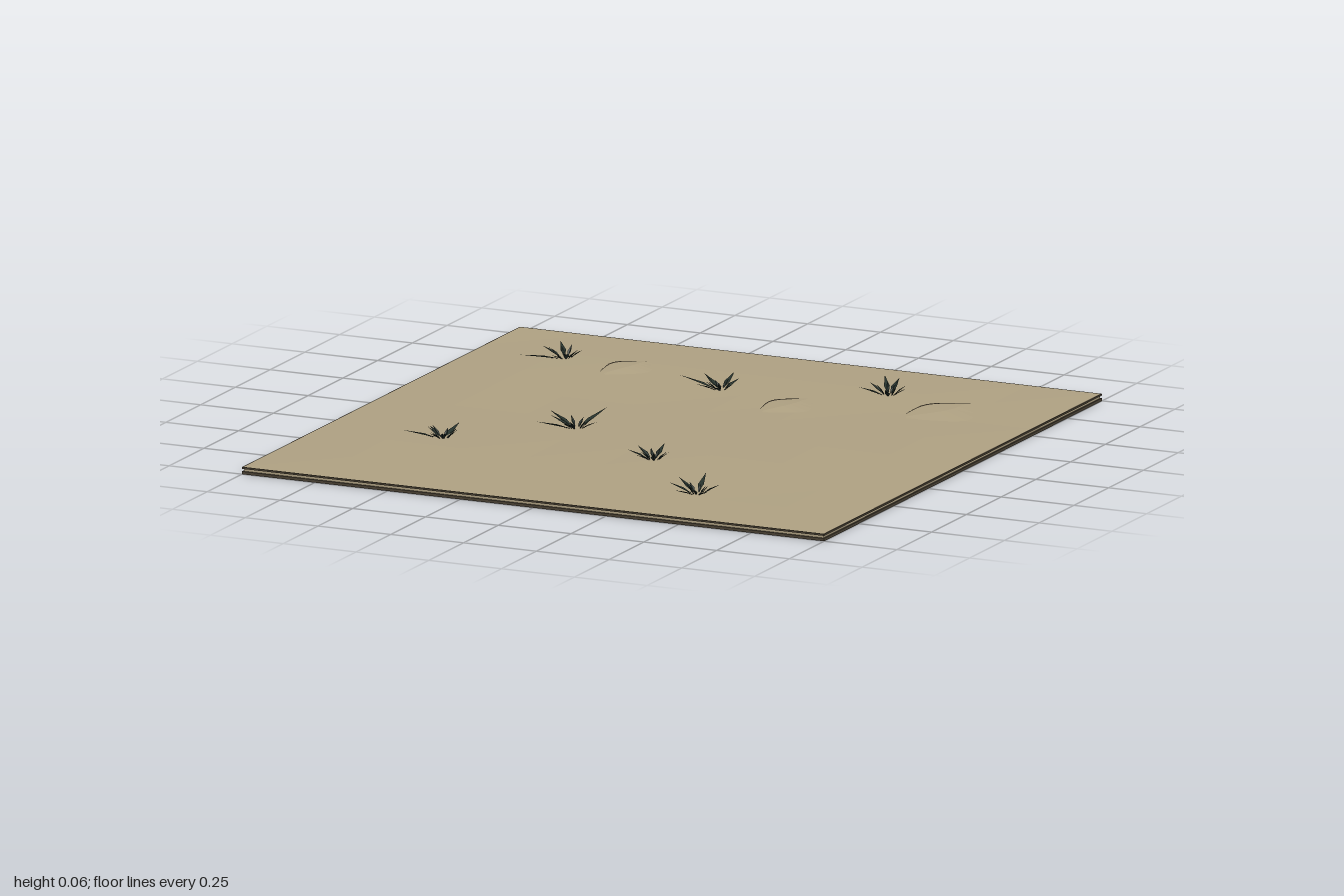
import * as THREE from 'three';

const sand = new THREE.MeshStandardMaterial({ name: 'sand', color: 0xb0a283, flatShading: true, side: THREE.DoubleSide });
const earth = new THREE.MeshStandardMaterial({ name: 'dark earth', color: 0x4a4234 });
const crust = new THREE.MeshStandardMaterial({ name: 'shaded crust', color: 0x5a5040, side: THREE.DoubleSide });
const grass = new THREE.MeshStandardMaterial({ name: 'dark grass', color: 0x27332d, flatShading: true, side: THREE.DoubleSide });

const TOP = 0.023;

function surface(points, index, material, name) {
  const g = new THREE.BufferGeometry();
  g.setAttribute('position', new THREE.Float32BufferAttribute(points, 3));
  g.setIndex(index);
  g.computeVertexNormals();
  const m = new THREE.Mesh(g, material);
  m.name = name;
  return m;
}

function slab(name, width, y0, y1, material) {
  const m = new THREE.Mesh(new THREE.BoxGeometry(width, y1 - y0, width), material);
  m.position.y = (y0 + y1) / 2;
  m.name = name;
  return m;
}

// Gently rolling ground sheet, flat along its border
function ground() {
  const g = new THREE.PlaneGeometry(1.992, 1.992, 8, 8).rotateX(-Math.PI / 2);
  const p = g.attributes.position;
  for (let i = 0; i < p.count; i++) {
    const x = p.getX(i), z = p.getZ(i);
    const inside = Math.max(Math.abs(x), Math.abs(z)) < 0.98;
    p.setY(i, TOP + (inside ? 0.0012 * (1 + Math.sin(x * 3 + z * 2) * Math.cos(z * 3 - x)) : 0));
  }
  g.computeVertexNormals();
  const m = new THREE.Mesh(g, sand);
  m.name = 'groundSurface';
  return m;
}

// Low drift: a curved crest with a soft apron on both sides and a thin dark lip
function drift(crestPoints, apron) {
  const group = new THREE.Group();
  group.name = 'sandDrift';
  const n = 8;
  const crest = new THREE.CatmullRomCurve3(crestPoints.map(([x, z]) => new THREE.Vector3(x, 0, z))).getPoints(n);
  const skirt = new THREE.CatmullRomCurve3(apron.map(([x, z]) => new THREE.Vector3(x, 0, z))).getPoints(n);
  const slope = [], lip = [], slopeIndex = [], lipIndex = [];
  for (let i = 0; i <= n; i++) {
    const c = crest[i], s = skirt[i], bulge = Math.sin(Math.PI * i / n);
    const mid = c.clone().lerp(s, 0.45);
    slope.push(c.x, TOP + 0.002 + 0.003 * bulge, c.z, mid.x, TOP + 0.002 + 0.006 * bulge, mid.z, s.x, TOP, s.z);
    const w = 0.004 * bulge;
    lip.push(c.x - w, TOP, c.z - w / 2, c.x, TOP + 0.002 + 0.005 * bulge, c.z, c.x + w, TOP + 0.002 + 0.003 * bulge, c.z + w / 2);
    if (i === n) continue;
    for (let k = 0; k < 2; k++) {
      const a = i * 3 + k;
      slopeIndex.push(a, a + 3, a + 1, a + 1, a + 3, a + 4);
      lipIndex.push(a, a + 3, a + 1, a + 1, a + 3, a + 4);
    }
  }
  group.add(surface(slope, slopeIndex, sand, 'driftSlope'), surface(lip, lipIndex, crust, 'driftLip'));
  return group;
}

// Spiky tuft: folded leaf blades radiating to the given tips, plus short inner blades
function tuft([cx, cz], tips, seed) {
  const rand = () => (seed = (seed * 16807) % 2147483647) / 2147483647;
  const points = [], index = [];
  const blade = (dx, dz, height, width) => {
    const len = Math.hypot(dx, dz), ux = dx / len, uz = dz / len, start = 0.014;
    const at = (t, side, y) => {
      const r = start + (len - start) * t;
      points.push(cx + ux * r - uz * side, TOP + y, cz + uz * r + ux * side);
    };
    const b = points.length / 3;
    at(0, 0, -0.002);
    at(0.4, width / 2, height * 0.48);
    at(0.4, 0, height * 0.36);
    at(0.4, -width / 2, height * 0.48);
    at(1, 0, height);
    index.push(b, b + 1, b + 2, b, b + 2, b + 3, b + 1, b + 4, b + 2, b + 2, b + 4, b + 3);
  };
  for (const [x, z] of tips) blade(x - cx, z - cz, 0.023 + rand() * 0.01, 0.018);
  for (let i = 0; i < 7; i++) {
    const a = (i + rand() * 0.7) / 7 * Math.PI * 2, r = 0.035 + rand() * 0.025;
    blade(Math.cos(a) * r, Math.sin(a) * r, 0.022 + rand() * 0.011, 0.011);
  }
  return surface(points, index, grass, 'grassTuft');
}

const drifts = [
  [[[-0.46, -0.76], [-0.53, -0.69], [-0.525, -0.58]], [[-0.44, -0.77], [-0.37, -0.64], [-0.48, -0.54]]],
  [[[0.20, -0.54], [0.125, -0.46], [0.13, -0.36]], [[0.22, -0.55], [0.29, -0.39], [0.17, -0.31]]],
  [[[0.67, -0.70], [0.58, -0.62], [0.565, -0.50]], [[0.70, -0.72], [0.78, -0.50], [0.60, -0.43]]],
];

const tufts = [
  [[-0.70, -0.70], [[-0.77, -0.81], [-0.80, -0.58], [-0.65, -0.72], [-0.67, -0.65], [-0.78, -0.70], [-0.71, -0.62]]],
  [[-0.09, -0.54], [[-0.11, -0.68], [-0.23, -0.54], [-0.07, -0.45], [-0.14, -0.47], [-0.18, -0.61], [-0.06, -0.61]]],
  [[0.41, -0.70], [[0.33, -0.84], [0.47, -0.70], [0.44, -0.62], [0.33, -0.65], [0.34, -0.71], [0.40, -0.80]]],
  [[-0.28, 0.10], [[-0.27, -0.10], [-0.40, 0.04], [-0.37, 0.20], [-0.27, 0.18], [-0.21, 0.10], [-0.37, 0.10]]],
  [[-0.60, 0.39], [[-0.60, 0.27], [-0.71, 0.45], [-0.66, 0.36], [-0.61, 0.47], [-0.57, 0.46], [-0.55, 0.39]]],
  [[0.11, 0.36], [[0.09, 0.24], [0.03, 0.39], [0.08, 0.43], [0.14, 0.43], [0.16, 0.36], [0.04, 0.33]]],
  [[0.42, 0.70], [[0.37, 0.53], [0.49, 0.77], [0.39, 0.80], [0.33, 0.72], [0.49, 0.68], [0.33, 0.64]]],
];

export function createModel() {
  const model = new THREE.Group();
  model.name = 'desertGroundTile';
  // Layered tile: dark base, sandy core, dark rim
  model.add(
    slab('base', 2, 0, 0.009, earth),
    slab('core', 1.99, 0.009, 0.017, sand),
    slab('rim', 2, 0.017, TOP - 0.0005, earth),
    ground(),
  );
  for (const [crest, apron] of drifts) model.add(drift(crest, apron));
  tufts.forEach(([center, tips], i) => model.add(tuft(center, tips, 101 + i * 977)));
  return model;
}
